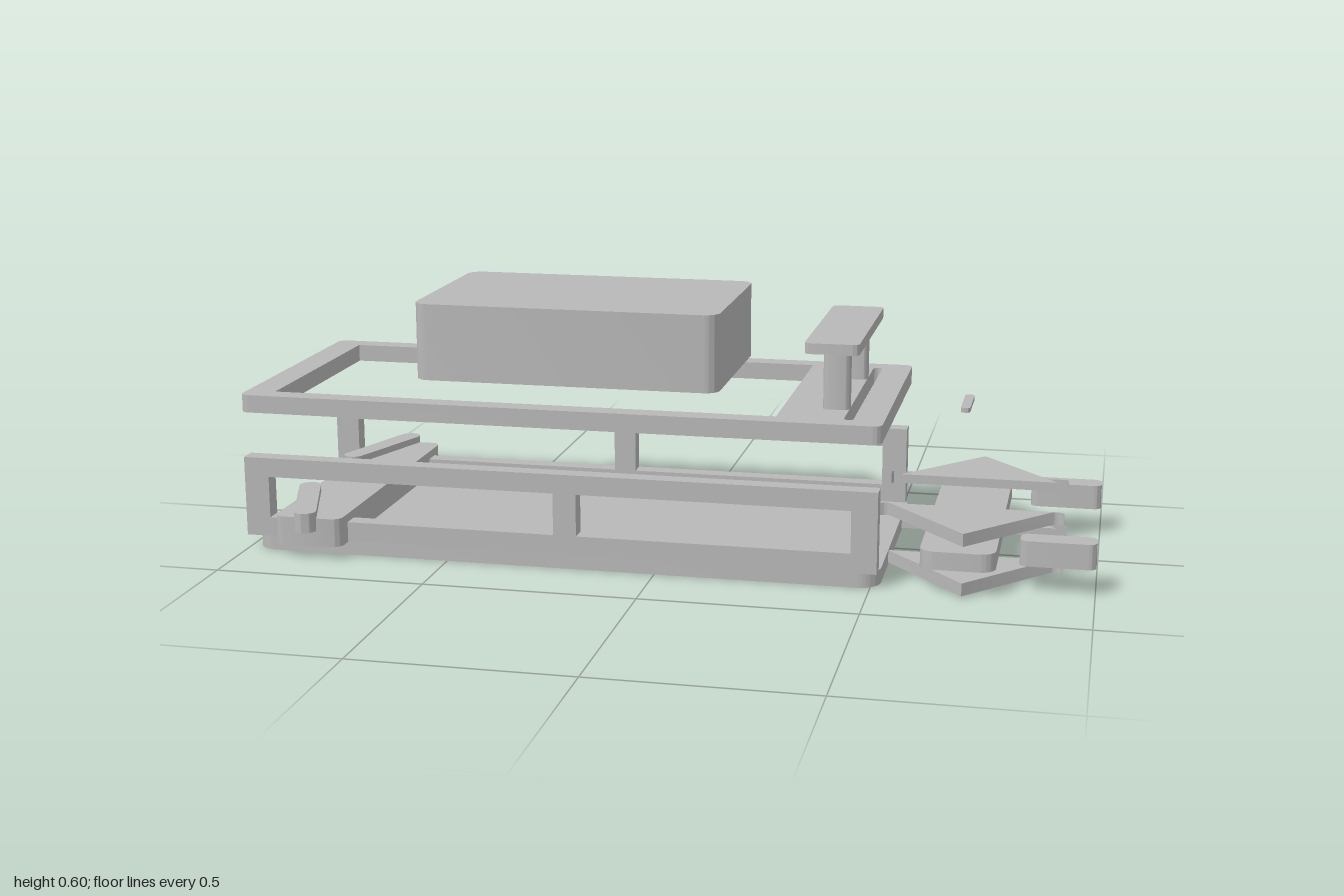
import * as THREE from 'three';
import { toCreasedNormals } from 'three/addons/utils/BufferGeometryUtils.js';

const grey = new THREE.MeshStandardMaterial({ color: 0xb8b8b8 });
grey.name = 'plain grey';

// Rectangle outline with rounded corners; works for shapes and holes
function roundRect(path, x0, y0, x1, y1, r) {
  path.absarc(x1 - r, y0 + r, r, -Math.PI / 2, 0);
  path.absarc(x1 - r, y1 - r, r, 0, Math.PI / 2);
  path.absarc(x0 + r, y1 - r, r, Math.PI / 2, Math.PI);
  path.absarc(x0 + r, y0 + r, r, Math.PI, Math.PI * 1.5);
  path.closePath();
  return path;
}

function rect(path, x0, y0, x1, y1) {
  path.moveTo(x0, y0).lineTo(x1, y0).lineTo(x1, y1).lineTo(x0, y1).closePath();
  return path;
}

function extrude(shape, depth) {
  return new THREE.ExtrudeGeometry(shape, { depth, bevelEnabled: false, curveSegments: 8 });
}

export function createModel() {
  const model = new THREE.Group();
  model.name = 'vehicleFrame';

  const add = (name, geometry) => {
    const mesh = new THREE.Mesh(toCreasedNormals(geometry, 0.5), grey);
    mesh.name = name;
    model.add(mesh);
    return mesh;
  };

  // Plan outline raised from y0 to y1
  const slab = (name, shape, y0, y1) =>
    add(name, extrude(shape, y1 - y0).rotateX(-Math.PI / 2).translate(0, y0, 0));

  // Rounded block given by its plan rectangle and height range
  const block = (name, x0, x1, z0, z1, y0, y1, r) =>
    slab(name, roundRect(new THREE.Shape(), x0, -z1, x1, -z0, r), y0, y1);

  // Floor and bumpers
  block('floorPlate', -0.98, 0.52, -0.32, 0.32, 0, 0.036, 0.05);
  block('rearBumper', -0.91, -0.745, -0.372, 0.372, 0.032, 0.1, 0.025);
  block('frontBumper', 0.61, 0.78, -0.338, 0.338, 0.06, 0.102, 0.035);

  // Upper frame with a large opening and a narrow slot
  const top = roundRect(new THREE.Shape(), -1, -0.33, 0.52, 0.33, 0.02);
  top.holes.push(rect(new THREE.Path(), -0.93, -0.28, 0.275, 0.28));
  top.holes.push(roundRect(new THREE.Path(), 0.428, -0.28, 0.45, 0.28, 0.01));
  slab('upperFrame', top, 0.338, 0.38);

  // Cargo box and floating front strip
  block('cargoBox', -0.6, 0.13, -0.232, 0.232, 0.414, 0.596, 0.035);
  block('frontStrip', 0.673, 0.695, -0.072, 0.072, 0.36, 0.371, 0.01);

  // Raised shelf
  block('shelfTop', 0.33, 0.455, -0.238, 0.238, 0.518, 0.543, 0.015);

  for (const s of [-1, 1]) {
    const side = s > 0 ? 'left' : 'right';
    const centred = (name, x0, x1, z, w, y0, y1, r) =>
      block(side + name, x0, x1, s * z - w / 2, s * z + w / 2, y0, y1, r);

    centred('ShelfLeg', 0.367, 0.428, 0.164, 0.048, 0.38, 0.518, 0.012);
    centred('FrontTab', 0.83, 1, 0.25, 0.06, 0.063, 0.122, 0.018);

    // Side frame with two windows
    const frame = rect(new THREE.Shape(), -1, 0.034, 0.515, 0.226);
    frame.holes.push(rect(new THREE.Path(), -0.94, 0.08, -0.24, 0.18));
    frame.holes.push(rect(new THREE.Path(), -0.185, 0.08, 0.455, 0.18));
    add(side + 'SideFrame', extrude(frame, 0.042).translate(0, 0, s * 0.3 - 0.021));

    // Slanted rear bar with round ends
    const a = new THREE.Vector2(-0.83, 0.372), b = new THREE.Vector2(-0.905, 0.152);
    const length = a.distanceTo(b), r = 0.026;
    const bar = slab(side + 'RearBar',
      roundRect(new THREE.Shape(), -length / 2 - r, -r, length / 2 + r, r, r - 0.0005), 0.07, 0.117);
    bar.position.set((a.x + b.x) / 2, 0, s * (a.y + b.y) / 2);
    bar.rotation.y = -s * Math.atan2(a.y - b.y, a.x - b.x);

    // Upper and lower V-shaped front arms
    const n = 0.714, w = 0.0174, ex = 0.197, ez = 0.147;
    const arm = new THREE.Shape();
    arm.moveTo(0, 0.4);
    arm.absarc(ex, ez, w, n, n - Math.PI, true);
    arm.lineTo(0, 0.347);
    arm.absarc(-ex, ez, w, -n, -n - Math.PI, true);
    arm.closePath();
    for (const [level, y] of [['Lower', 0.005], ['Upper', 0.12]]) {
      const mesh = slab(side + level + 'FrontArm', arm, y, y + 0.03);
      mesh.position.x = 0.708;
      mesh.rotation.y = s > 0 ? Math.PI : 0;
    }
  }
  return model;
}
